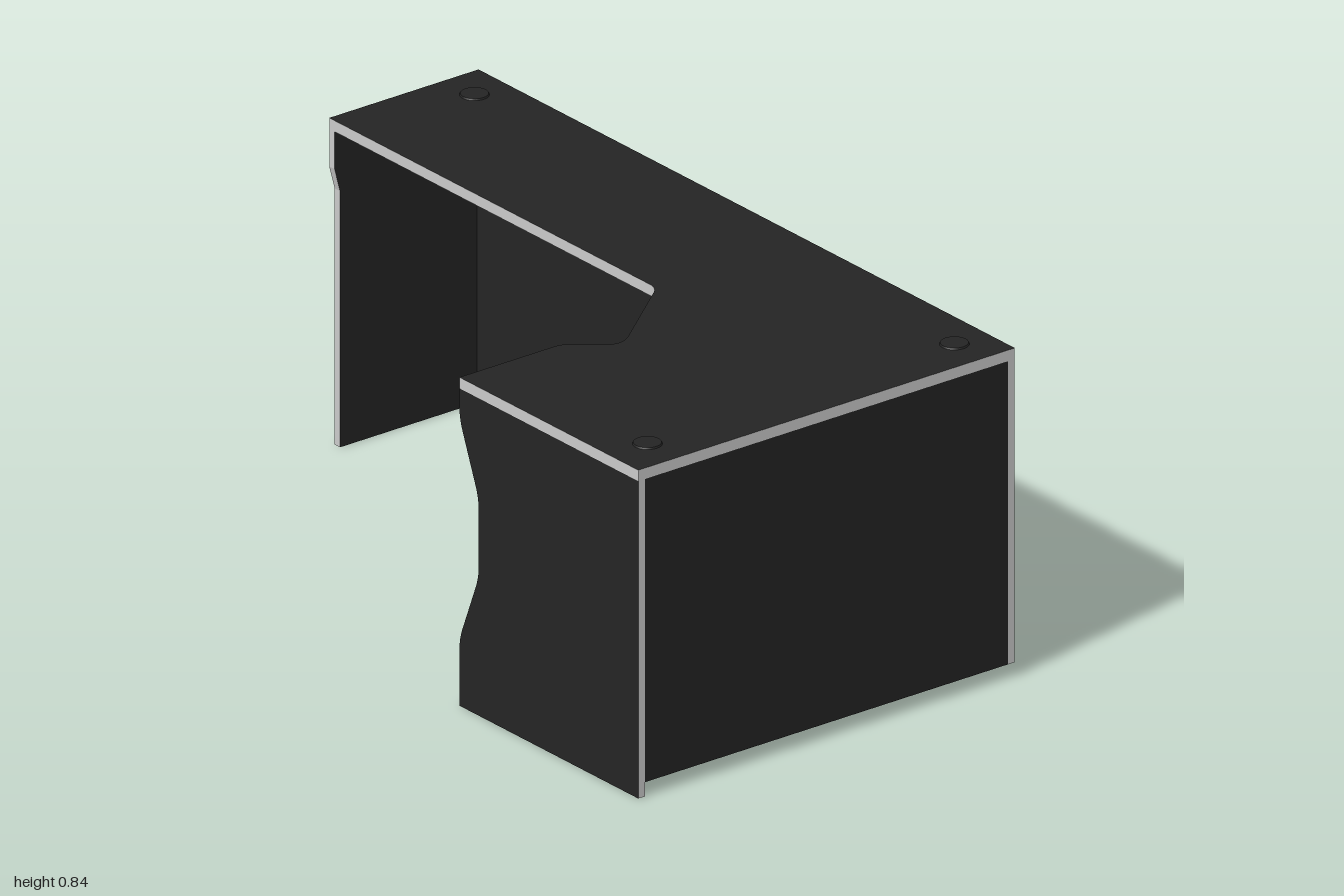
import * as THREE from 'three';

const T = 0.02;        // side panel thickness
const TOP = 0.833;     // worktop height
const TOP_T = 0.028;   // worktop thickness
const UNDER = TOP - TOP_T;
const GAP = 0.036;     // clearance under the hanging panels

const board = new THREE.MeshStandardMaterial({ color: 0x242424 });
const edging = new THREE.MeshStandardMaterial({ color: 0xcccccc });

// Closed outline; a point with a third value r gets its corner rounded by r
function outline(points) {
  const shape = new THREE.Shape();
  const n = points.length;
  points.forEach(([x, y, r = 0], i) => {
    const p = new THREE.Vector2(x, y);
    const toward = (q) => p.clone().add(new THREE.Vector2(q[0], q[1]).sub(p).setLength(r));
    const a = r ? toward(points[(i + n - 1) % n]) : p;
    if (i === 0) shape.moveTo(a.x, a.y);
    else shape.lineTo(a.x, a.y);
    if (r) {
      const b = toward(points[(i + 1) % n]);
      shape.quadraticCurveTo(x, y, b.x, b.y);
    }
  });
  shape.closePath();
  return shape;
}

const rect = (x0, y0, x1, y1) => [[x0, y0], [x1, y0], [x1, y1], [x0, y1]];

// Dark board with light edge banding
function panel(name, points, depth) {
  const geometry = new THREE.ExtrudeGeometry(outline(points), {
    depth, bevelEnabled: false, curveSegments: 8,
  });
  const mesh = new THREE.Mesh(geometry, [board, edging]);
  mesh.name = name;
  return mesh;
}

export function createModel() {
  const desk = new THREE.Group();
  desk.name = 'cornerDesk';

  // L-shaped worktop, outline given as x, z
  const top = panel('worktop', [
    [-1, -0.555], [1, -0.555], [1, 0.555], [0.333, 0.555],
    [0.333, 0.255, 0.02], [0.425, 0.145, 0.05], [0.22, -0.115, 0.025], [-1, -0.115],
  ], TOP_T);
  top.rotation.x = Math.PI / 2;
  top.position.y = TOP;
  desk.add(top);

  // Back panel between the end leg and the outer side
  const back = panel('backPanel', rect(-1 + T, GAP, 1, UNDER), T);
  back.position.z = -0.555;
  desk.add(back);

  // Front leg of the return, with a knee cutout
  const frontLeg = panel('frontLeg', [
    [0.333, 0], [1, 0], [1, UNDER], [0.333, UNDER],
    [0.333, 0.73, 0.03], [0.405, 0.55, 0.03], [0.405, 0.35, 0.03], [0.333, 0.17, 0.03],
  ], T);
  frontLeg.position.z = 0.555 - T;
  desk.add(frontLeg);

  // Side panel of the return, outline given as z, y
  const side = panel('sidePanel', rect(-0.555 + T, GAP, 0.555 - T, UNDER), T);
  side.rotation.y = -Math.PI / 2;
  side.position.x = 1;
  desk.add(side);

  // End leg, set back slightly below the worktop
  const endLeg = panel('endLeg', [
    [-0.555, 0], [-0.131, 0], [-0.131, 0.65], [-0.115, 0.71],
    [-0.115, UNDER], [-0.555, UNDER],
  ], T);
  endLeg.rotation.y = -Math.PI / 2;
  endLeg.position.x = -1 + T;
  desk.add(endLeg);

  // Cable grommets in the three outer corners
  for (const [x, z] of [[-0.895, -0.46], [0.895, -0.46], [0.895, 0.445]]) {
    const grommet = new THREE.Mesh(new THREE.CylinderGeometry(0.033, 0.035, 0.004, 32), board);
    grommet.name = 'cableGrommet';
    grommet.position.set(x, TOP + 0.002, z);
    desk.add(grommet);
  }
  return desk;
}
